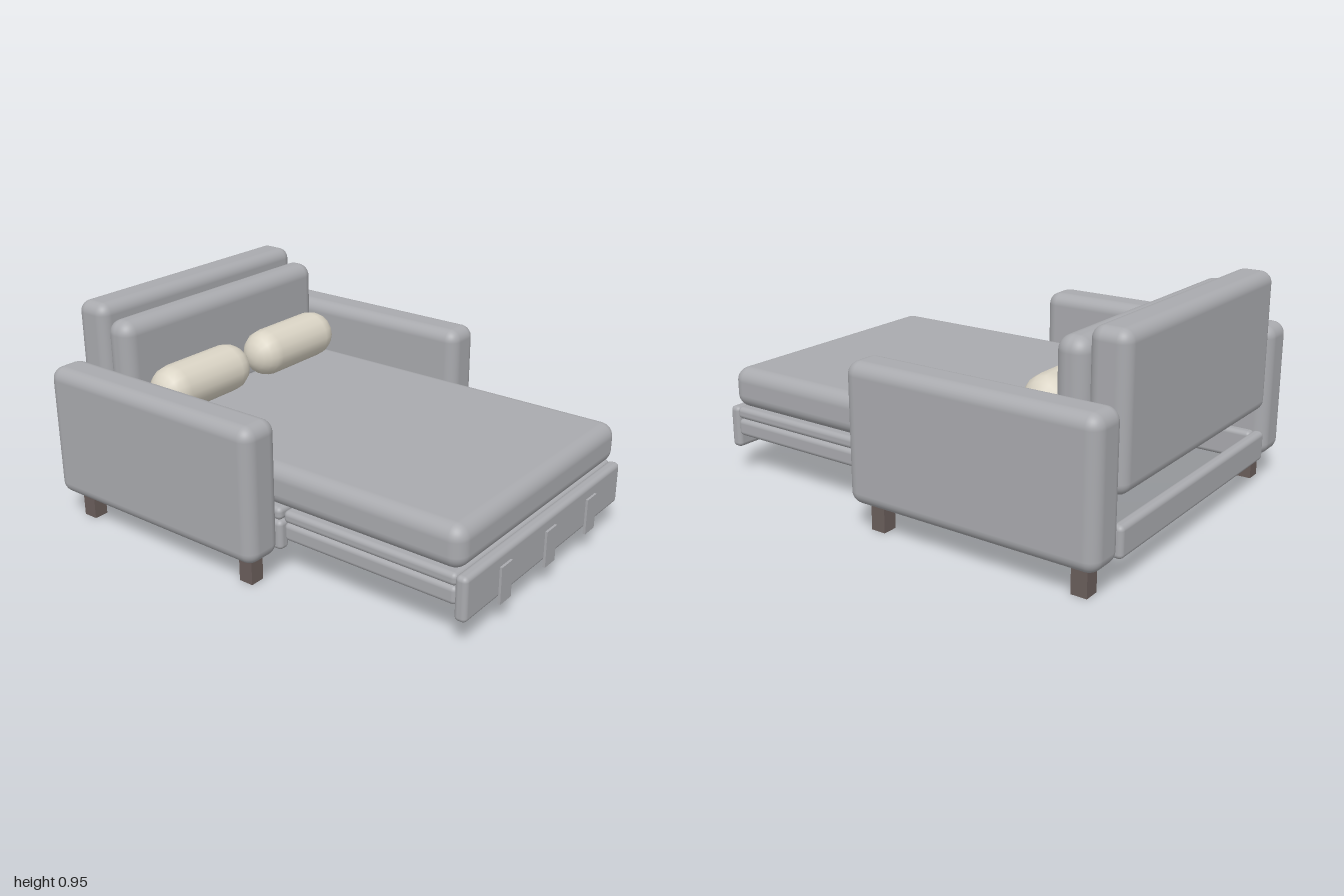
import * as THREE from 'three';
import { RoundedBoxGeometry } from 'three/addons/geometries/RoundedBoxGeometry.js';

export function createModel() {
  const model = new THREE.Group();
  model.name = 'sofaBed';

  const material = (name, color) => {
    const m = new THREE.MeshStandardMaterial({ color });
    m.name = name;
    return m;
  };
  const fabric = material('greyFabric', 0xa9aaae);
  const cream = material('creamFabric', 0xdad4c5);
  const wood = material('darkWood', 0x6a5e5b);

  // Box given by its extents on each axis; a radius rounds the edges.
  const box = (name, [x0, x1], [y0, y1], [z0, z1], radius, mat = fabric) => {
    const size = [x1 - x0, y1 - y0, z1 - z0];
    const geometry = radius
      ? new RoundedBoxGeometry(...size, 4, radius)
      : new THREE.BoxGeometry(...size);
    const mesh = new THREE.Mesh(geometry, mat);
    mesh.name = name;
    mesh.position.set((x0 + x1) / 2, (y0 + y1) / 2, (z0 + z1) / 2);
    model.add(mesh);
    return mesh;
  };
  const full = [-0.612, 0.612];

  // Upholstery
  box('backrest', full, [0.35, 0.955], [-1, -0.835], 0.05);
  box('backCushion', full, [0.485, 0.9], [-0.832, -0.695], 0.06);
  box('mattress', full, [0.31, 0.49], [-0.7, 0.963], 0.06);

  // Two-part bed base, with end rails and pull tabs
  box('rearBase', full, [0.255, 0.31], [-0.8, 0.125], 0.02);
  box('frontBase', full, [0.257, 0.31], [0.14, 0.945], 0.02);
  box('rearRail', full, [0.12, 0.25], [-1, -0.95], 0.02);
  box('frontRail', full, [0.12, 0.308], [0.937, 0.99], 0.02);
  for (const x of [-0.342, 0, 0.342]) {
    box('pullTab', [x - 0.039, x + 0.039], [0.095, 0.253], [0.988, 1], 0);
  }

  // Mirrored parts
  for (const side of [1, -1]) {
    const label = side > 0 ? 'left' : 'right';
    const span = (a, b) => (side > 0 ? [a, b] : [-b, -a]);

    box(label + 'Arm', span(0.615, 0.795), [0.12, 0.705], [-1, 0.132], 0.055);
    box(label + 'FrontSideRail', span(0.555, 0.61), [0.178, 0.255], [0.14, 0.945], 0.02);
    box(label + 'RearSideRail', span(0.555, 0.61), [0.12, 0.25], [-0.96, 0.125], 0.02);
    box(label + 'FrontLeg', span(0.658, 0.724), [0, 0.13], [0.002, 0.068], 0, wood);
    box(label + 'BackLeg', span(0.658, 0.724), [0, 0.13], [-0.93, -0.862], 0, wood);

    // Bolster pillow lying along x
    const pillow = new THREE.Mesh(new THREE.CapsuleGeometry(0.107, 0.316, 5, 16), cream);
    pillow.name = label + 'Pillow';
    pillow.rotation.z = Math.PI / 2;
    pillow.position.set(side * 0.295, 0.598, -0.592);
    model.add(pillow);
  }
  return model;
}
